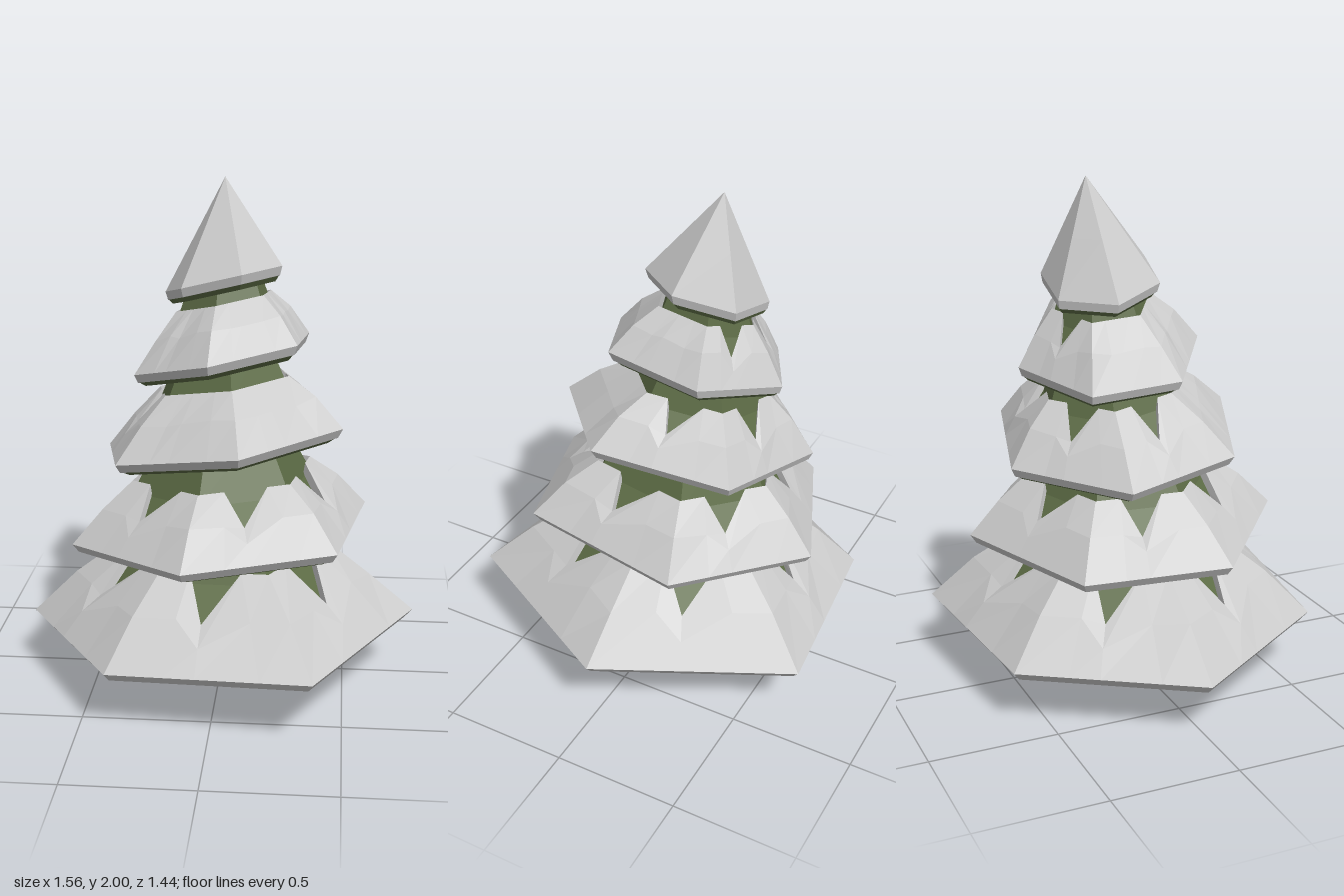
import * as THREE from 'three';

const paint = (color) => new THREE.MeshStandardMaterial({ color, flatShading: true });

// Rim corners [x, z] run once round each tier. y: rim height, tilt: rise along x and z,
// axis: z towards which the tier narrows, top: snow top [scale, height],
// core: foliage top [scale, height], notches: edges where foliage shows through the snow.
const TIERS = [
  { rim: [[0.78, 0], [0.39, 0.72], [-0.39, 0.63], [-0.78, 0], [-0.39, -0.63], [0.39, -0.72]],
    y: 0.25, tilt: [0.038, 0.02], axis: -0.03, top: [0.54, 0.3], core: [0.4, 0.43], notches: [0, 1, 2, 3, 4, 5] },
  { rim: [[0.58, -0.25], [0.47, 0.42], [-0.105, 0.59], [-0.58, 0.18], [-0.48, -0.38], [0.11, -0.63]],
    y: 0.62, tilt: [0.07, 0.045], axis: -0.07, top: [0.6, 0.23], core: [0.36, 0.45], notches: [0, 1, 2, 3, 4, 5] },
  { rim: [[0.48, 0.13], [0.1, 0.465], [-0.385, 0.28], [-0.48, -0.185], [-0.105, -0.525], [0.38, -0.4]],
    y: 0.99, tilt: [0.158, 0.09], axis: -0.14, top: [0.55, 0.22], core: [0.34, 0.41], notches: [2, 3, 4, 5] },
  { rim: [[0.335, -0.24], [0.3, 0.15], [-0.03, 0.29], [-0.335, 0.08], [-0.3, -0.27], [0.03, -0.44]],
    y: 1.325, tilt: [0.218, 0.112], axis: -0.15, top: [0.54, 0.21], core: [0.36, 0.35], notches: [4, 5] },
  { rim: [[0.23, -0.08], [0.085, 0.11], [-0.15, 0.07], [-0.235, -0.135], [-0.09, -0.32], [0.15, -0.3]],
    y: 1.628, tilt: [0.24, 0.16], axis: -0.17, top: [0, 0.4], core: [0.1, 0.28], notches: [] },
];

// Small seeded generator for the uneven snow
let seed = 7;
const random = () => (seed = (seed * 16807) % 2147483647) / 2147483647;

// Point on a tier: rim point scaled towards the axis, lifted by h on the tilted plane
function place(tier, [px, pz], [s, h]) {
  const x = px * s;
  const z = pz * s + tier.axis * (1 - s);
  return [x, tier.y + h + tier.tilt[0] * x + tier.tilt[1] * z, z];
}

// Skin closed rings of equal length, listed from the underside outwards and up
function loft(rings) {
  const pos = [];
  for (let i = 0; i < rings.length - 1; i++) {
    const a = rings[i], b = rings[i + 1], n = a.length;
    for (let j = 0; j < n; j++) {
      const k = (j + 1) % n;
      pos.push(...a[j], ...b[j], ...a[k], ...a[k], ...b[j], ...b[k]);
    }
  }
  const geo = new THREE.BufferGeometry();
  geo.setAttribute('position', new THREE.Float32BufferAttribute(pos, 3));
  geo.computeVertexNormals();
  return geo;
}

// Hexagonal foliage with a hollow underside
function foliageGeometry(tier) {
  const [ts, th] = tier.top;
  const shoulder = ts > 0 ? [ts, th - 0.05] : [0.5, 0.13];
  const profile = [[0.05, 0.12], [0.56, -0.01], [0.88, -0.055], [0.96, -0.03],
    shoulder, tier.core, [0, tier.core[1]]];
  return loft(profile.map((p) => tier.rim.map((c) => place(tier, c, p))));
}

// Snow blanket: straight rim, uneven slope, upper edge cut by notches
function snowGeometry(tier) {
  const [ts, th] = tier.top;
  const rings = [[], [], [], [], [], []];
  const isCone = ts === 0;
  const steps = isCone ? [0] : [0, 0.25, 0.56, 0.72];
  tier.rim.forEach((c, e) => {
    const next = tier.rim[(e + 1) % 6];
    steps.forEach((t, i) => {
      const p = [c[0] + (next[0] - c[0]) * t, c[1] + (next[1] - c[1]) * t];
      const f = i === 2 && tier.notches.includes(e) ? 0.5 : 1;
      const slope = (k) => [1 + (ts - 1) * k, th * k];
      const mid = slope(f * 0.5);
      const top = slope(f);
      if (!isCone) mid[1] += 0.005 + 0.02 * random();
      const profile = [[0.86, -0.04], [0.96, -0.035], [1, 0], mid, top,
        [Math.max(0, top[0] - 0.02), top[1] - 0.07]];
      profile.forEach((q, r) => rings[r].push(place(tier, p, q)));
    });
  });
  return loft(isCone ? rings.slice(0, 5) : rings);
}

export function createModel() {
  const model = new THREE.Group();
  model.name = 'snowyPineTree';
  const bark = paint(0x75594c);
  const green = paint(0x5c6b45);
  const snow = paint(0xcccccc);
  snow.side = THREE.DoubleSide;

  const trunk = new THREE.Mesh(new THREE.CylinderGeometry(0.175, 0.145, 0.45, 6), bark);
  trunk.name = 'trunk';
  trunk.rotation.y = Math.PI / 6;
  trunk.position.y = 0.225;
  model.add(trunk);

  TIERS.forEach((tier, i) => {
    const group = new THREE.Group();
    group.name = `branchTier${i + 1}`;
    const foliage = new THREE.Mesh(foliageGeometry(tier), green);
    foliage.name = 'foliage';
    const blanket = new THREE.Mesh(snowGeometry(tier), snow);
    blanket.name = 'snow';
    group.add(foliage, blanket);
    model.add(group);
  });
  return model;
}
